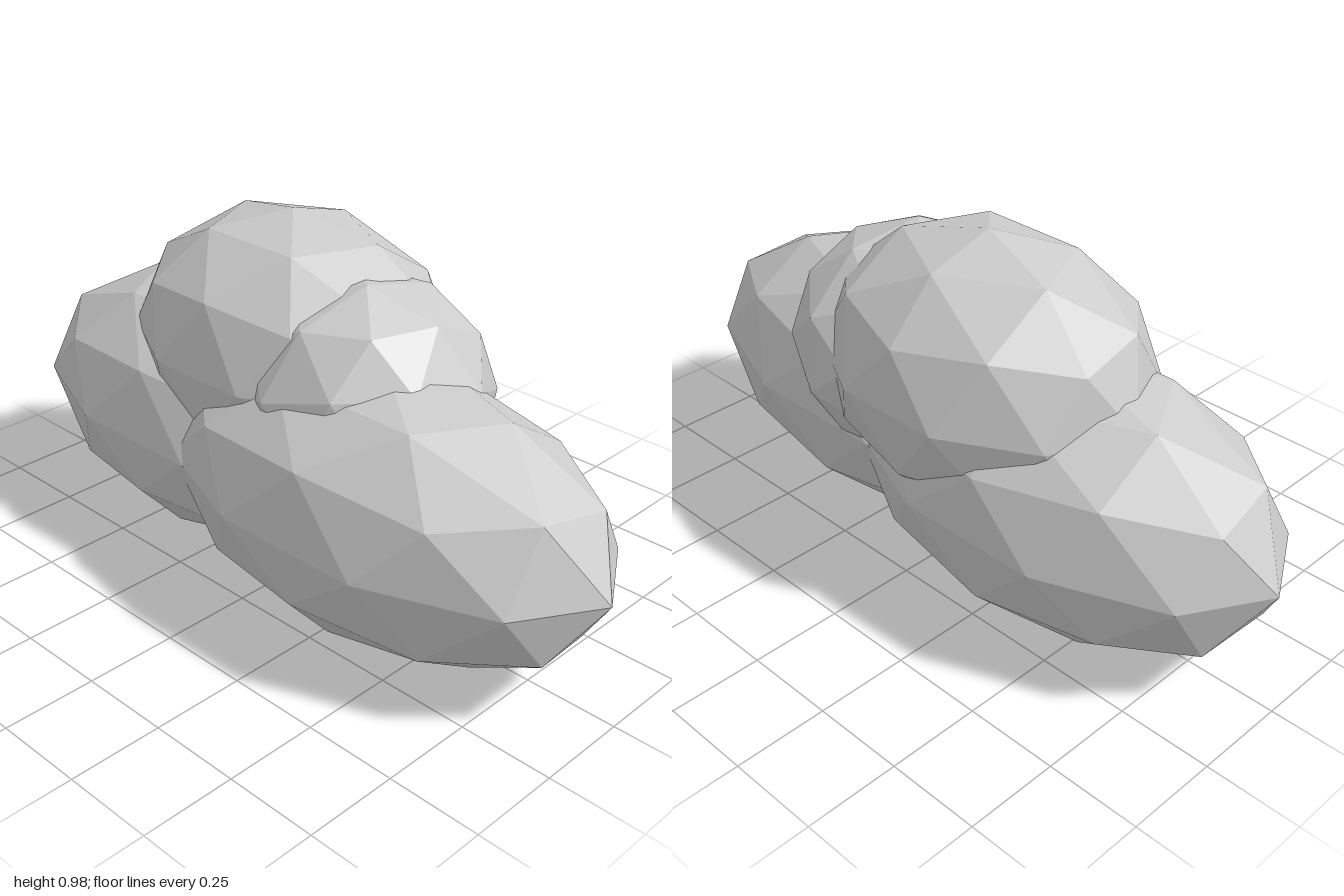
import * as THREE from 'three';

// Faceted ball with a vertex at its top and bottom poles
function facetedBall() {
  const g = new THREE.IcosahedronGeometry(1, 1);
  g.rotateX(-Math.atan((1 + Math.sqrt(5)) / 2));
  g.rotateY(Math.PI / 2);
  return g;
}

export function createModel() {
  const group = new THREE.Group();
  group.name = 'boulderCluster';
  const material = new THREE.MeshStandardMaterial({ color: 0xcccccc, flatShading: true });
  const geometry = facetedBall();

  // Each lobe: name, centre, radii, tilt
  const lobes = [
    ['frontLobe', [-0.065, 0.37, 0.32], [0.363, 0.363, 0.68], [0, 0, 0]],
    ['backLobe', [0.035, 0.368, -0.353], [0.363, 0.363, 0.647], [0, 0, 0]],
    ['topLobe', [0.06, 0.622, -0.115], [0.363, 0.363, 0.48], [0, 0, 0]],
    ['middleLobe', [0.033, 0.57, 0.175], [0.328, 0.32, 0.328], [-0.26, 0.2, -0.25]],
  ];
  for (const [name, centre, radii, tilt] of lobes) {
    const lobe = new THREE.Mesh(geometry, material);
    lobe.name = name;
    lobe.position.set(...centre);
    lobe.scale.set(...radii);
    lobe.rotation.set(...tilt);
    group.add(lobe);
  }
  return group;
}
